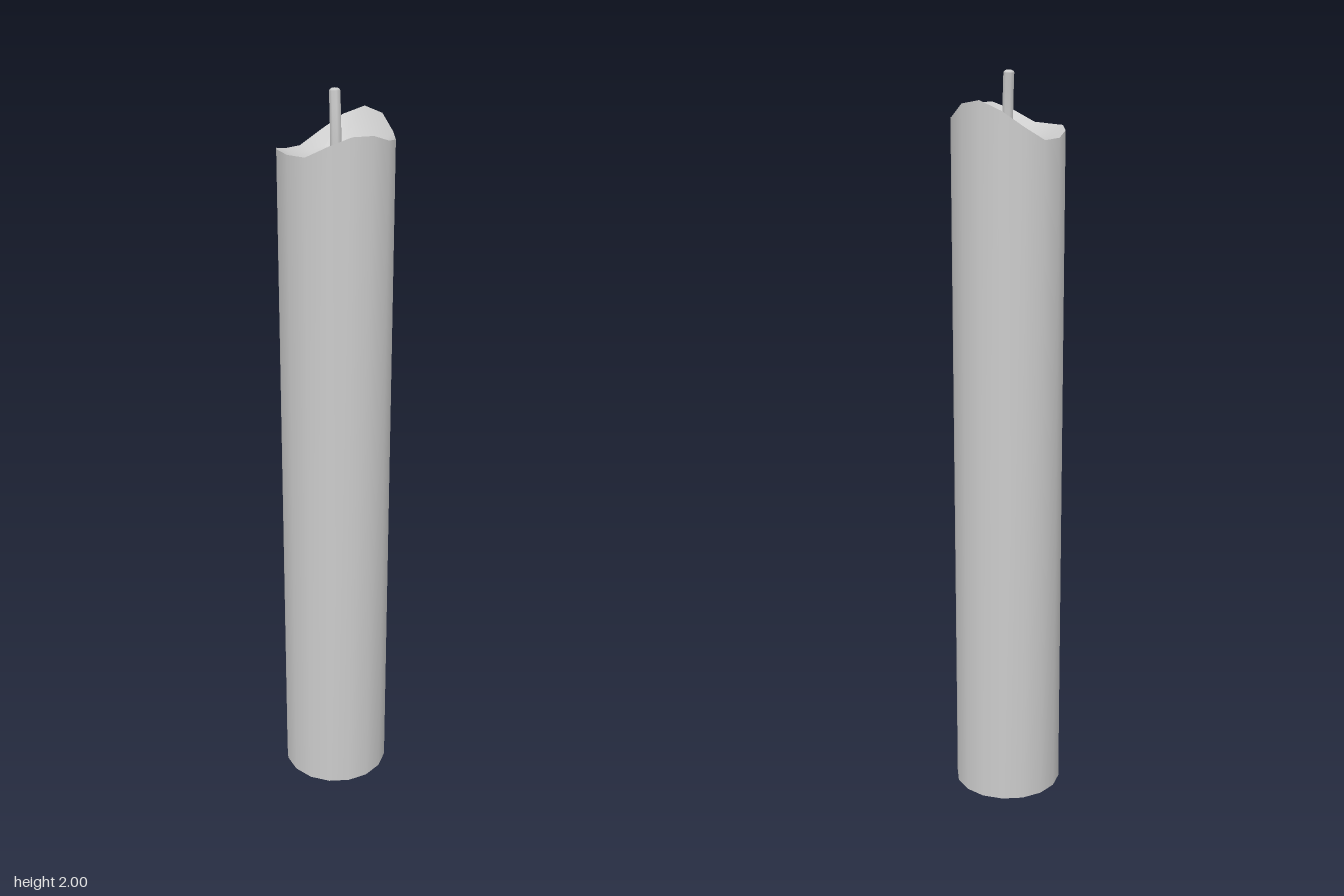
import * as THREE from 'three';
import { toCreasedNormals } from 'three/addons/utils/BufferGeometryUtils.js';

const SIDES = 16;
const RADIUS = 0.149;
// Height of the melted rim at each side, starting at +x and turning towards +z
const RIM = [1.885, 1.88, 1.89, 1.912, 1.915, 1.893, 1.863, 1.86,
  1.86, 1.85, 1.835, 1.832, 1.865, 1.905, 1.93, 1.92];

// Closed loft through rings of { r, y(i) }, ordered from the bottom centre over the wall to the top centre
function loft(rings) {
  const positions = [];
  const index = [];
  for (const { r, y } of rings) {
    for (let i = 0; i < SIDES; i++) {
      const a = (i / SIDES) * Math.PI * 2;
      positions.push(Math.cos(a) * r, y(i), Math.sin(a) * r);
    }
  }
  for (let j = 0; j < rings.length - 1; j++) {
    for (let i = 0; i < SIDES; i++) {
      const n = (i + 1) % SIDES;
      const a = j * SIDES + i, b = j * SIDES + n;
      const c = a + SIDES, d = b + SIDES;
      if (rings[j].r > 0) index.push(a, c, b);
      if (rings[j + 1].r > 0) index.push(b, c, d);
    }
  }
  const geometry = new THREE.BufferGeometry();
  geometry.setAttribute('position', new THREE.Float32BufferAttribute(positions, 3));
  geometry.setIndex(index);
  return toCreasedNormals(geometry, 0.75);
}

export function createModel() {
  const group = new THREE.Group();
  group.name = 'candle';
  const material = new THREE.MeshStandardMaterial({ color: 0xcccccc });
  const add = (name, geometry) => {
    const mesh = new THREE.Mesh(geometry, material);
    mesh.name = name;
    group.add(mesh);
    return mesh;
  };

  // Wax body: flat base, straight wall, wavy rim and shallow melted bowl
  const level = (h) => () => h;
  add('waxBody', loft([
    { r: 0, y: level(0) },
    { r: RADIUS, y: level(0) },
    { r: RADIUS, y: (i) => RIM[i] },
    { r: 0.105, y: (i) => 1.828 + (RIM[i] - 1.83) * 0.12 },
    { r: 0.06, y: level(1.82) },
    { r: 0, y: level(1.816) },
  ]));

  // Wick: thin tube leaning slightly backwards, with a domed tip
  const path = new THREE.CatmullRomCurve3([
    new THREE.Vector3(0, 1.80, 0.002),
    new THREE.Vector3(0, 1.88, 0.001),
    new THREE.Vector3(0, 1.94, -0.003),
    new THREE.Vector3(0, 1.993, -0.009),
  ]);
  add('wick', new THREE.TubeGeometry(path, 6, 0.0145, 8, false));
  const tip = add('wickTip', new THREE.SphereGeometry(0.0145, 8, 3, 0, Math.PI * 2, 0, Math.PI / 2));
  tip.scale.y = 0.5;
  tip.position.copy(path.getPoint(1));
  tip.rotation.x = -0.11;

  return group;
}
